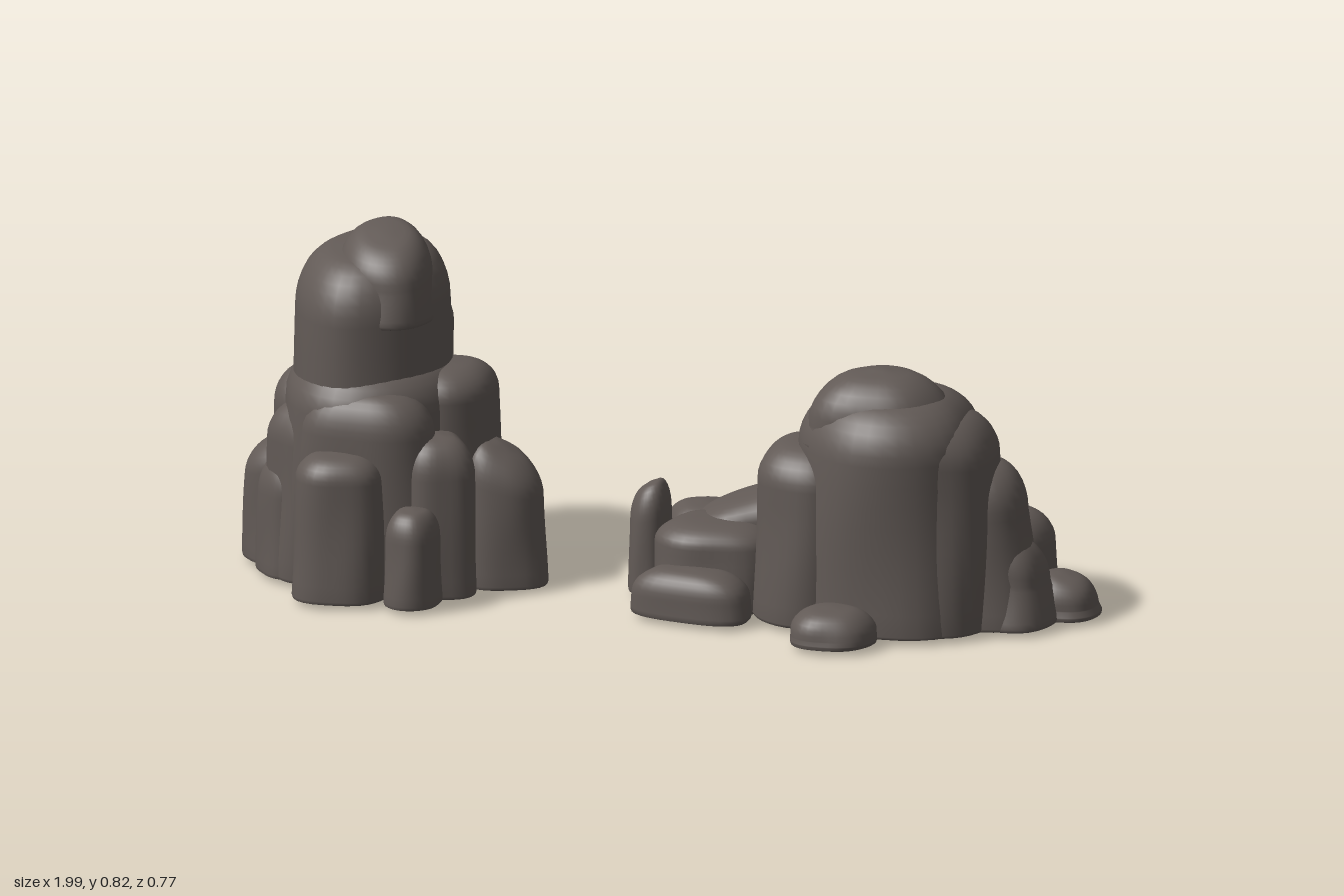
import * as THREE from 'three';
import { mergeVertices } from 'three/addons/utils/BufferGeometryUtils.js';

const stone = new THREE.MeshStandardMaterial({ color: 0x625a56 });
stone.name = 'brown grey stone';

let seed = 0;

// One weathered boulder: a squarish column with a rounded top.
// x, z centre; rx, rz half sizes; h top height; base bottom height;
// round = depth of the rounded top, flat = share of the top left flat,
// slant = rise of the top along [x, z], square = squareness of the outline
function rock(group, name, x, z, rx, rz, h, opts = {}) {
  const { base = 0.015, round = Math.min(0.09, h * 0.4), flat = 0.35, turn = 0, taper = 0.08,
    slant = [0, 0], square = 2.6, bump = 0.03 } = opts;
  seed += 1.7;
  const H = h - base, side = H - round, pts = [];
  const add = (r, y) => pts.push(new THREE.Vector2(r, y));
  add(0, 0); add(0.6, 0); add(0.965, 0); add(0.98, 0.001);
  for (let i = 0; i <= 8; i++) add(1 - taper * i / 8, 0.008 + (side - 0.008) * i / 8);
  for (let i = 1; i <= 8; i++) {
    const a = i / 8 * Math.PI / 2;
    add((1 - taper) * (flat + (1 - flat) * Math.cos(a)), side + round * 0.96 * Math.sin(a));
  }
  add(flat * 0.5, H * 0.99 + 0.01 * side); add(0, H);

  let geo = new THREE.LatheGeometry(pts, 36);
  const p = geo.attributes.position, c = Math.cos(turn), s = Math.sin(turn);
  for (let i = 0; i < p.count; i++) {
    const ux = p.getX(i), uz = p.getZ(i), y = p.getY(i), t = y / H;
    const r = Math.hypot(ux, uz), a = Math.atan2(uz, ux);
    // Superellipse outline with soft dents
    const se = Math.pow(Math.abs(Math.cos(a)) ** square + Math.abs(Math.sin(a)) ** square, -1 / square);
    const dent = 1 + bump * (Math.sin(3 * a + seed) + 0.6 * Math.sin(5 * a - seed * 2 + t * 2)
      + 0.5 * Math.sin(t * 6 + seed * 3 + 2 * a)) - bump;
    const lx = Math.cos(a) * r * se * dent * rx, lz = Math.sin(a) * r * se * dent * rz;
    const wx = lx * c + lz * s, wz = lz * c - lx * s;
    p.setXYZ(i, wx, y + (slant[0] * wx + slant[1] * wz) * t * t, wz);
  }
  geo.deleteAttribute('uv');
  geo.deleteAttribute('normal');
  geo = mergeVertices(geo, 1e-5);
  geo.computeVertexNormals();
  const mesh = new THREE.Mesh(geo, stone);
  mesh.name = name;
  mesh.position.set(x, base, z);
  group.add(mesh);
}

function buildSpire() {
  const g = new THREE.Group();
  g.name = 'tallSpire';
  // Tall core and the slanted stone on its peak
  rock(g, 'spireCore', -0.69, 0.008, 0.19, 0.22, 0.775, { round: 0.14, taper: 0.06, flat: 0.5, slant: [0.05, -0.08], square: 1.8, bump: 0.015 });
  rock(g, 'spireCap', -0.645, 0.05, 0.115, 0.14, 0.815, { base: 0.62, round: 0.1, turn: 0.5, slant: [-0.03, -0.3], flat: 0.4, square: 2.1, bump: 0.02 });
  rock(g, 'spireShoulder', -0.765, -0.02, 0.085, 0.11, 0.745, { round: 0.08, turn: 0.4 });
  // Middle tier
  rock(g, 'backColumn', -0.67, -0.215, 0.11, 0.1, 0.605, { round: 0.07, taper: 0.04 });
  rock(g, 'middleTier', -0.68, 0.01, 0.23, 0.25, 0.54, { round: 0.12, taper: 0.06, square: 1.9, bump: 0.02 });
  rock(g, 'rightTier', -0.52, -0.01, 0.125, 0.13, 0.505, { round: 0.07, taper: 0.05, square: 2.3 });
  rock(g, 'rightBackTier', -0.57, -0.13, 0.12, 0.11, 0.47, { turn: 0.75 });
  rock(g, 'leftTier', -0.83, -0.03, 0.1, 0.13, 0.47, { round: 0.09, square: 2.3 });
  rock(g, 'leftFrontTier', -0.79, 0.085, 0.12, 0.11, 0.42, { turn: 0.75 });
  rock(g, 'leftBackTier', -0.78, -0.14, 0.12, 0.11, 0.46, { turn: 0.75 });
  rock(g, 'frontTier', -0.65, 0.165, 0.17, 0.11, 0.48, { round: 0.1, square: 2.3 });
  // Low stones round the foot
  rock(g, 'frontStone', -0.695, 0.25, 0.115, 0.1, 0.35, { round: 0.06, taper: 0.1, square: 2.3 });
  rock(g, 'frontRightStone', -0.52, 0.265, 0.065, 0.075, 0.235, { round: 0.07 });
  rock(g, 'frontRightColumn', -0.5, 0.15, 0.095, 0.1, 0.38, { turn: 0.5 });
  rock(g, 'rightStone', -0.38, 0.015, 0.1, 0.095, 0.325, { base: 0.008, round: 0.09, taper: 0.1, slant: [-0.5, 0], turn: 0.3 });
  rock(g, 'rightBackStone', -0.425, -0.06, 0.095, 0.08, 0.3, { base: 0.003, turn: 0.5, round: 0.08 });
  rock(g, 'leftStone', -0.91, -0.02, 0.09, 0.1, 0.3, { round: 0.07, slant: [0.4, 0], turn: 0.2, square: 2.3 });
  rock(g, 'leftFrontStone', -0.85, 0.085, 0.085, 0.09, 0.29, { turn: 0.75 });
  rock(g, 'backLeftStone', -0.845, -0.22, 0.085, 0.075, 0.33, { turn: 0.7, round: 0.08, square: 2.3 });
  rock(g, 'backStone', -0.61, -0.31, 0.068, 0.07, 0.215, { round: 0.06, square: 2.3 });
  return g;
}

function buildMound() {
  const g = new THREE.Group();
  g.name = 'broadMound';
  // Rounded main mass and the cap on top
  rock(g, 'moundCore', 0.54, 0.055, 0.225, 0.215, 0.545, { round: 0.13, taper: 0.06, flat: 0.42, square: 2.3 });
  rock(g, 'moundCap', 0.52, 0.07, 0.18, 0.15, 0.592, { base: 0.42, round: 0.12, flat: 0.25, square: 2.1, turn: 0.2 });
  rock(g, 'rightLobe', 0.66, 0.055, 0.135, 0.18, 0.505, { round: 0.1, slant: [-0.15, 0], square: 2.2 });
  rock(g, 'leftLobe', 0.365, 0.07, 0.14, 0.16, 0.42, { round: 0.09, taper: 0.07, square: 2.4 });
  rock(g, 'backLobe', 0.56, -0.06, 0.15, 0.1, 0.51, { round: 0.1 });
  // Right slope stepping down
  rock(g, 'rightSlope', 0.725, 0.01, 0.155, 0.145, 0.385, { round: 0.12, taper: 0.2 });
  rock(g, 'rightFoot', 0.81, 0.025, 0.105, 0.11, 0.22, { round: 0.1, taper: 0.2, slant: [-0.4, 0] });
  rock(g, 'rightBackBlock', 0.74, -0.14, 0.13, 0.12, 0.23, { round: 0.08, turn: -0.3, square: 2.3 });
  rock(g, 'backRightBlock', 0.62, -0.175, 0.16, 0.11, 0.32, { round: 0.09, turn: -0.1, square: 2.3 });
  rock(g, 'endStone', 0.91, -0.065, 0.085, 0.09, 0.11, { round: 0.07, turn: -0.3, square: 2, slant: [-0.2, 0] });
  // Broken blocks at the back and left
  rock(g, 'backBlock', 0.43, -0.15, 0.15, 0.12, 0.37, { turn: -0.3, slant: [0.2, 0.4] });
  rock(g, 'backLeftBlock', 0.265, -0.19, 0.14, 0.105, 0.255, { turn: 0.4, slant: [0.25, 0.2], round: 0.07 });
  rock(g, 'leftSlab', 0.19, -0.05, 0.16, 0.14, 0.25, { turn: 0.3, slant: [0.3, 0], round: 0.06 });
  rock(g, 'leftBlock', 0.13, 0.055, 0.15, 0.13, 0.21, { round: 0.05 });
  rock(g, 'leftBackStone', 0.065, -0.08, 0.095, 0.1, 0.205, { round: 0.06, turn: 0.3 });
  // Low stones round the foot
  rock(g, 'uprightStone', -0.038, 0.005, 0.05, 0.07, 0.265, { round: 0.08, square: 2.2, slant: [0.5, 0] });
  rock(g, 'frontLeftSlab', 0.11, 0.182, 0.142, 0.075, 0.125, { round: 0.06, turn: -0.16, taper: 0.03, square: 3, bump: 0.012 });
  rock(g, 'frontStone', 0.47, 0.295, 0.102, 0.092, 0.095, { round: 0.06, taper: 0.02, square: 2.2 });
  rock(g, 'backStone', 0.355, -0.31, 0.11, 0.085, 0.095, { round: 0.06, taper: 0.02, square: 2.3 });
  return g;
}

export function createModel() {
  seed = 0;
  const model = new THREE.Group();
  model.name = 'rockFormation';
  model.add(buildSpire(), buildMound());
  return model;
}
